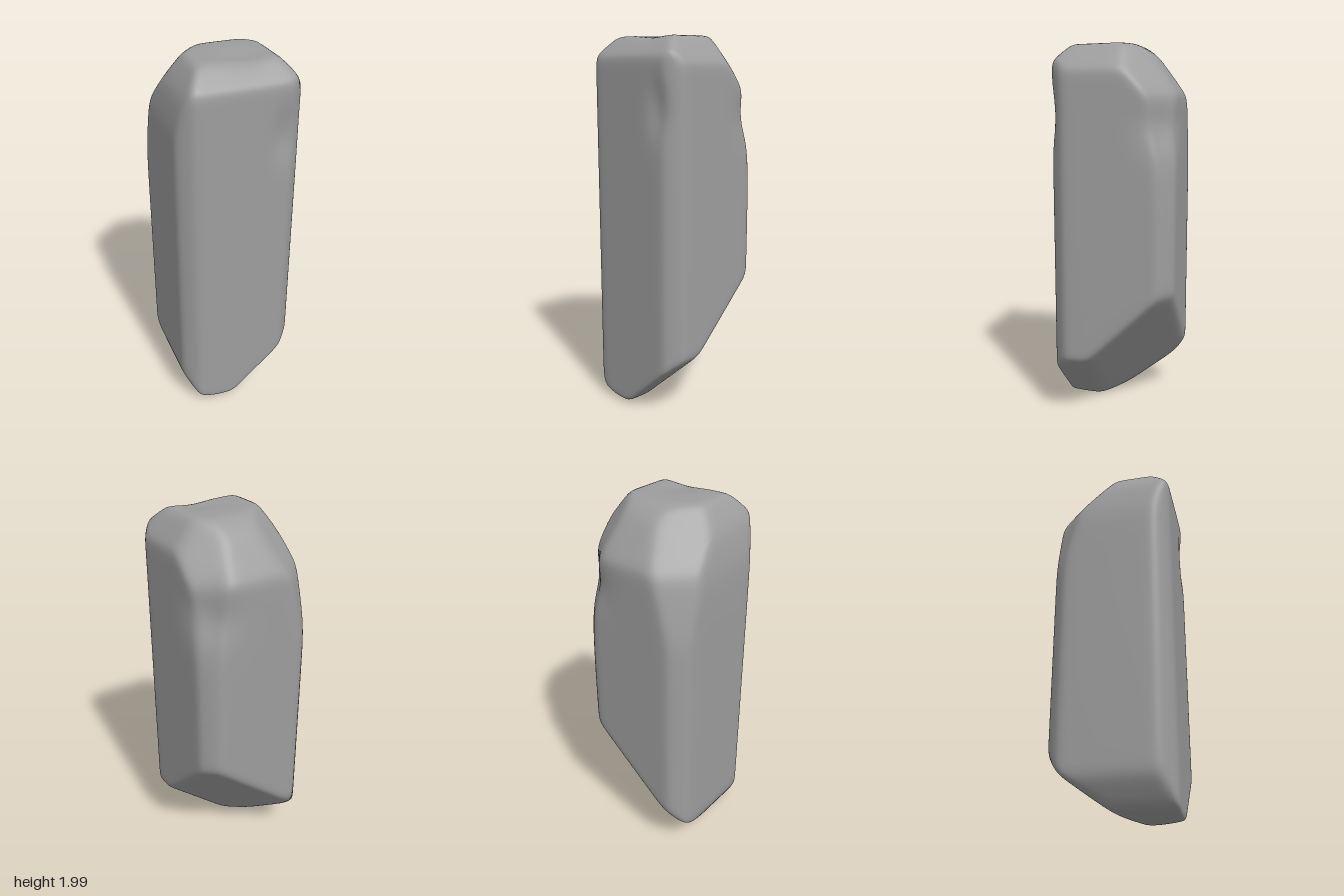
import * as THREE from 'three';
import { mergeVertices } from 'three/addons/utils/BufferGeometryUtils.js';

// Outlines, counter-clockwise: front as [x, y], side as [z, y]
const front = [
  [-0.07, -0.006], [0.326, 0.35], [0.326, 1.865], [0.208, 2.009], [-0.193, 2.009],
  [-0.284, 1.88], [-0.326, 1.7], [-0.326, 0.202], [-0.247, 0.056],
];
const side = [
  [0.087, -0.017], [0.326, 0.024], [0.326, 1.897], [0.217, 2.009], [-0.089, 2.009],
  [-0.181, 1.953], [-0.326, 1.744], [-0.326, 0.332], [-0.26, 0.23],
];

// Cutting planes of the stone: outward normal and distance from the origin
const cuts = [];
function addCut(normal, point) {
  const n = new THREE.Vector3(...normal).normalize();
  cuts.push({ n, d: n.dot(new THREE.Vector3(...point)) });
}
function addOutline(points, place) {
  points.forEach(([u, v], i) => {
    const [u2, v2] = points[(i + 1) % points.length];
    addCut(place(v2 - v, u - u2), place(u, v));
  });
}
addOutline(front, (u, v) => [u, v, 0]);
addOutline(side, (u, v) => [0, v, u]);

// Upright corner bevels
for (const sx of [-1, 1]) {
  for (const sz of [-1, 1]) addCut([sx, 0, sz], [sx * 0.288, 1, sz * 0.288]);
}
// Sloping breaks on the upper back corners
addCut([-0.35, 0.38, -0.35], [-0.16, 1.88, -0.16]);
addCut([-0.7, 0.2, -0.7], [-0.275, 1.5, -0.275]);
addCut([0.17, 0.16, -0.17], [0.245, 1.76, -0.245]);
addCut([0.7, 0.1, -0.7], [0.262, 1.7, -0.262]);
// Large slanted face of the wedge bottom
addCut([0.85, -1, -0.95], [0.3, 0.33, 0.13]);

// Shallow dents: centre, radii, depth
const dents = [
  [0.21, 1.64, 0.33, 0.06, 0.13, 0.07, 0.025],
  [0.25, 1.6, -0.26, 0.12, 0.13, 0.12, 0.03],
  [0.06, 2.0, 0.16, 0.1, 0.08, 0.09, 0.015],
];

// Smoothly blended distance to the cut planes, negative inside
const SHARP = 100;
function field(p) {
  let sum = 0;
  for (const { n, d } of cuts) sum += Math.exp(SHARP * (n.dot(p) - d));
  let f = Math.log(sum) / SHARP;
  for (const [x, y, z, rx, ry, rz, depth] of dents) {
    const q = ((p.x - x) / rx) ** 2 + ((p.y - y) / ry) ** 2 + ((p.z - z) / rz) ** 2;
    f += depth * Math.exp(-q);
  }
  return f;
}

function stoneGeometry() {
  let geo = new THREE.BoxGeometry(0.65, 2, 0.65, 40, 110, 40);
  geo.deleteAttribute('uv');
  geo.deleteAttribute('normal');
  geo = mergeVertices(geo, 1e-5);

  // Move every vertex along its ray from the centre onto the surface
  const pos = geo.attributes.position;
  const dir = new THREE.Vector3();
  const p = new THREE.Vector3();
  for (let i = 0; i < pos.count; i++) {
    dir.fromBufferAttribute(pos, i);
    let lo = 0, hi = 1.1;
    for (let k = 0; k < 24; k++) {
      const mid = (lo + hi) / 2;
      p.copy(dir).multiplyScalar(mid);
      p.y += 1;
      if (field(p) < 0) lo = mid; else hi = mid;
    }
    pos.setXYZ(i, p.x, p.y, p.z);
  }

  // Stand it on the ground
  geo.computeBoundingBox();
  geo.translate(0, -geo.boundingBox.min.y, 0);
  geo.computeVertexNormals();
  return geo;
}

export function createModel() {
  const group = new THREE.Group();
  group.name = 'standingStone';
  const stone = new THREE.Mesh(stoneGeometry(), new THREE.MeshStandardMaterial({ color: 0x9d9d9d }));
  stone.name = 'stone';
  group.add(stone);
  return group;
}
